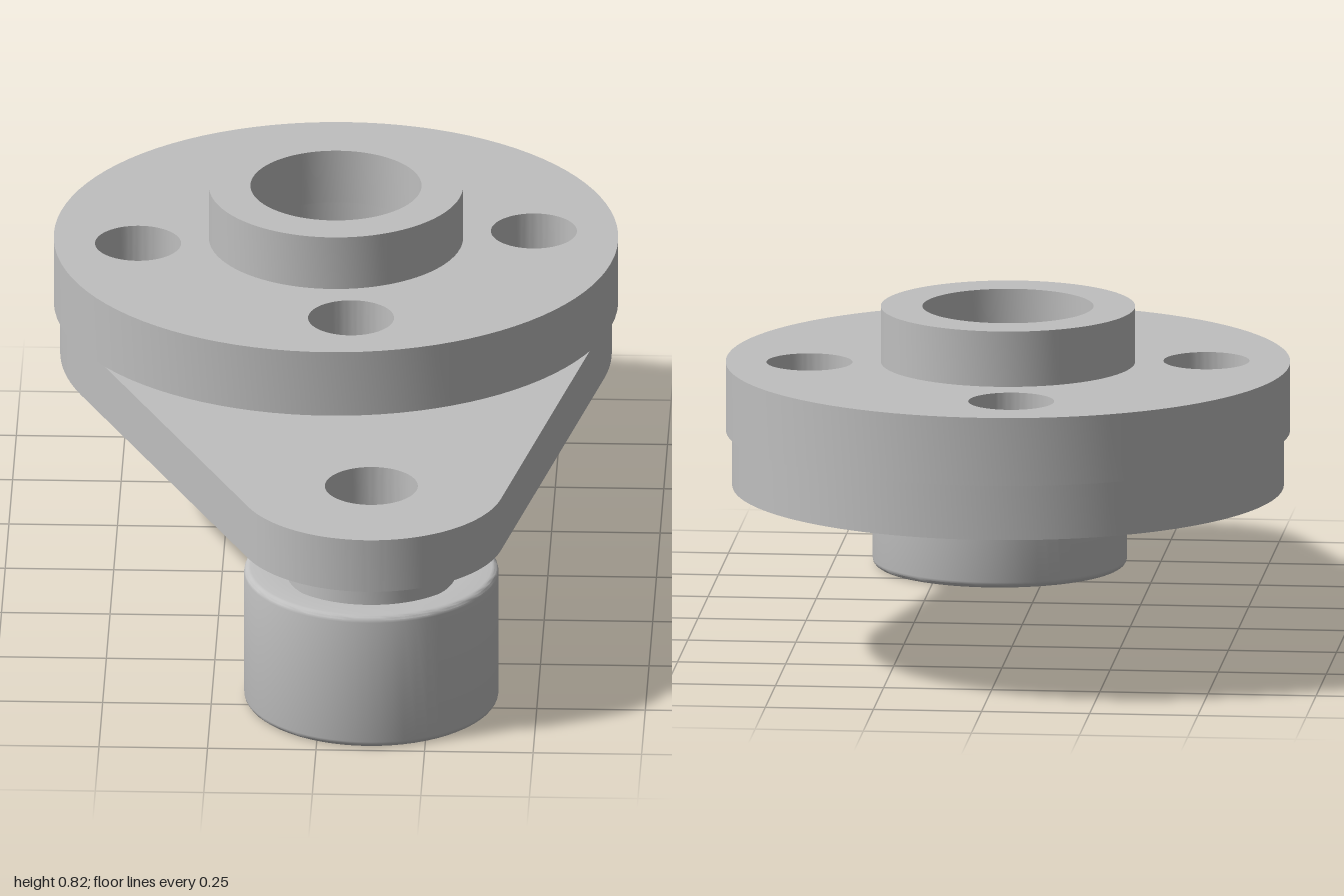
import * as THREE from 'three';
import { toCreasedNormals } from 'three/addons/utils/BufferGeometryUtils.js';

const CREASE = 0.5;

// Flat plate: outline in (x, -z), raised from y0 to y1
function plate(name, shape, holes, y0, y1, material) {
  for (const [x, z, r] of holes) {
    const hole = new THREE.Path();
    hole.absarc(x, -z, r, 0, Math.PI * 2, true);
    shape.holes.push(hole);
  }
  const geo = new THREE.ExtrudeGeometry(shape, { depth: y1 - y0, bevelEnabled: false, curveSegments: 48 });
  geo.rotateX(-Math.PI / 2);
  geo.translate(0, y0, 0);
  const mesh = new THREE.Mesh(toCreasedNormals(geo, CREASE), material);
  mesh.name = name;
  return mesh;
}

// Turned part: closed profile of [radius, y], counterclockwise
function turned(name, profile, x, z, material) {
  const points = [...profile, profile[0]].map(([r, y]) => new THREE.Vector2(r, y));
  const geo = toCreasedNormals(new THREE.LatheGeometry(points, 64), CREASE);
  const mesh = new THREE.Mesh(geo, material);
  mesh.name = name;
  mesh.position.set(x, 0, z);
  return mesh;
}

// Quarter-round corner for a turned profile
function round(r, y, radius, start) {
  return [0, 1, 2, 3, 4].map((i) => {
    const a = start + (i / 4) * (Math.PI / 2);
    return [r + radius * Math.cos(a), y + radius * Math.sin(a)];
  });
}

function circle(x, z, r) {
  const shape = new THREE.Shape();
  shape.absarc(x, -z, r, 0, Math.PI * 2, false);
  return shape;
}

// Outline wrapped around two circles with tangent sides
function wrappedOutline(x1, z1, r1, x2, z2, r2) {
  const dx = x2 - x1, dy = z1 - z2;
  const along = Math.atan2(dy, dx);
  const spread = Math.acos((r1 - r2) / Math.hypot(dx, dy));
  const shape = new THREE.Shape();
  shape.absarc(x1, -z1, r1, along + spread, along - spread + Math.PI * 2, false);
  shape.absarc(x2, -z2, r2, along - spread, along + spread, false);
  shape.closePath();
  return shape;
}

export function createModel() {
  const steel = new THREE.MeshStandardMaterial({ color: 0xbfbfbf });
  steel.name = 'steel grey';
  const group = new THREE.Group();
  group.name = 'crankArm';

  const hub = [0, -0.35];
  const pin = [0.117, 0.693];
  const bolts = [0, 1, 2, 3].map((i) => {
    const a = 0.11 + (i * Math.PI) / 2;
    return [hub[0] + 0.457 * Math.cos(a), hub[1] - 0.457 * Math.sin(a)];
  });

  // Tapered arm under the flange
  const armHoles = [hub, pin, ...bolts].map(([x, z]) => [x, z, 0.107]);
  group.add(plate('arm', wrappedOutline(...hub, 0.635, ...pin, 0.307), armHoles, 0.4, 0.53, steel));

  // Bolted flange and its raised collar
  const flangeHoles = [[...hub, 0.197], ...bolts.map(([x, z]) => [x, z, 0.099])];
  group.add(plate('flange', circle(...hub, 0.65), flangeHoles, 0.53, 0.69, steel));
  group.add(plate('collar', circle(...hub, 0.293), [[...hub, 0.197]], 0.69, 0.82, steel));

  // Spacer between arm and roller
  group.add(turned('spacer', [[0.1, 0.31], [0.195, 0.31], [0.195, 0.4], [0.1, 0.4]], ...pin, steel));

  // Roller with rounded rims and a shallow groove at each end
  group.add(turned('roller', [
    [0.1, 0], [0.172, 0], [0.172, 0.02], [0.224, 0.02], [0.224, 0],
    ...round(0.278, 0.015, 0.015, -Math.PI / 2),
    ...round(0.278, 0.315, 0.015, 0),
    [0.224, 0.33], [0.224, 0.31], [0.1, 0.31],
  ], ...pin, steel));

  return group;
}
